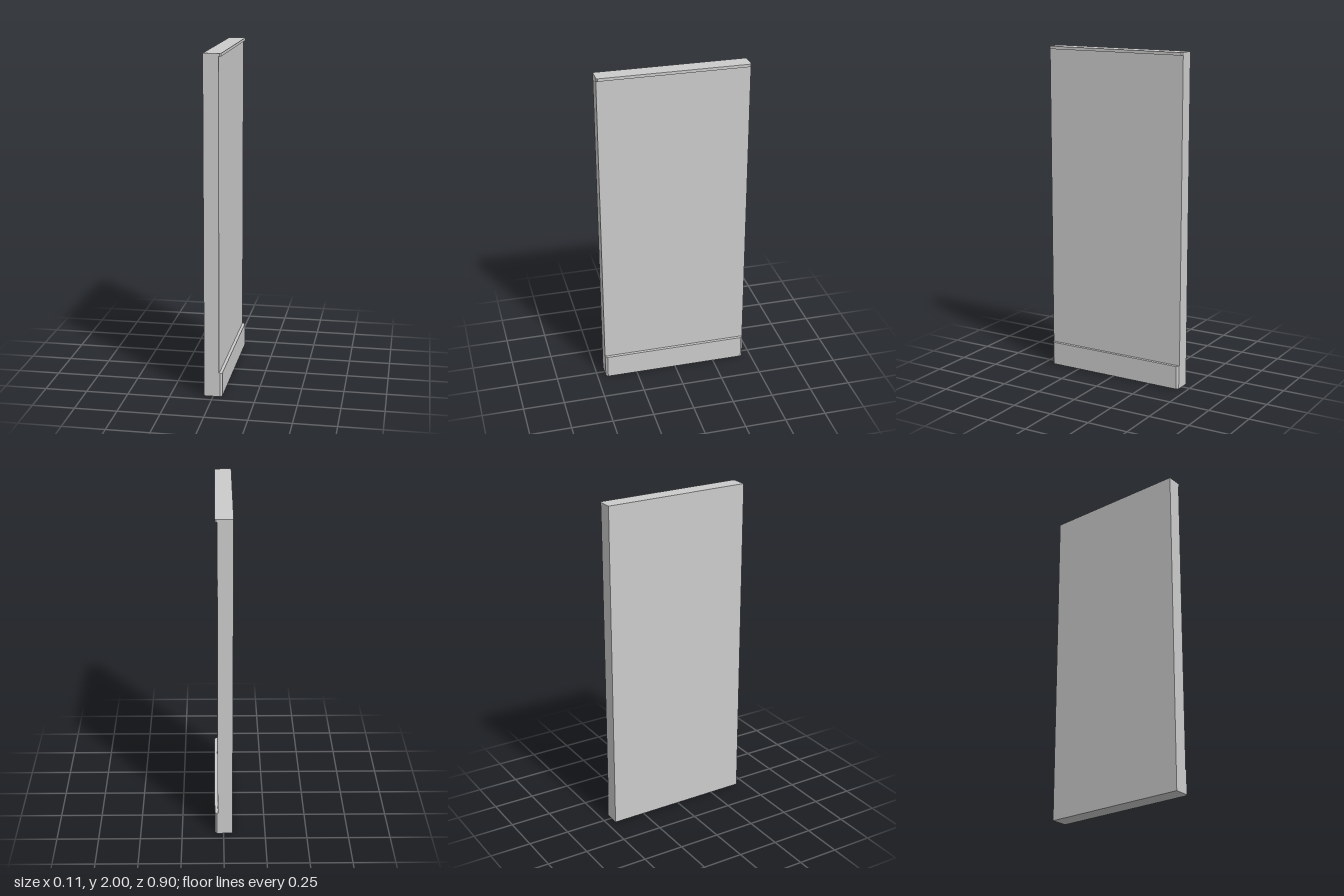
import * as THREE from 'three';

const BACK = -0.053, FACE = 0.035, HALF = 0.448;

// Upright slab from a plan outline, standing between two heights
function slab(name, outline, y0, y1) {
  const shape = new THREE.Shape(outline.map(([x, z]) => new THREE.Vector2(x, z)));
  const geometry = new THREE.ExtrudeGeometry(shape, { depth: y1 - y0, bevelEnabled: false });
  geometry.rotateX(-Math.PI / 2).translate(0, y0, 0);
  const mesh = new THREE.Mesh(geometry, new THREE.MeshStandardMaterial({ color: 0xcccccc, flatShading: true }));
  mesh.name = name;
  return mesh;
}

// Plan outline of a strip on the panel face, with chamfered outer corners
function strip(front, chamfer) {
  const shoulder = 0.041;
  return [[FACE, -HALF], [shoulder, -HALF], [front, chamfer - HALF],
    [front, HALF - chamfer], [shoulder, HALF], [FACE, HALF]];
}

export function createModel() {
  const model = new THREE.Group();
  model.name = 'wallPanel';
  model.add(
    slab('panel', [[BACK, -HALF], [FACE, -HALF], [FACE, HALF], [BACK, HALF]], 0, 2),
    slab('baseboard', strip(0.053, 0.013), 0, 0.143),
    slab('topTrim', strip(0.048, 0.008), 1.983, 2),
  );
  return model;
}
